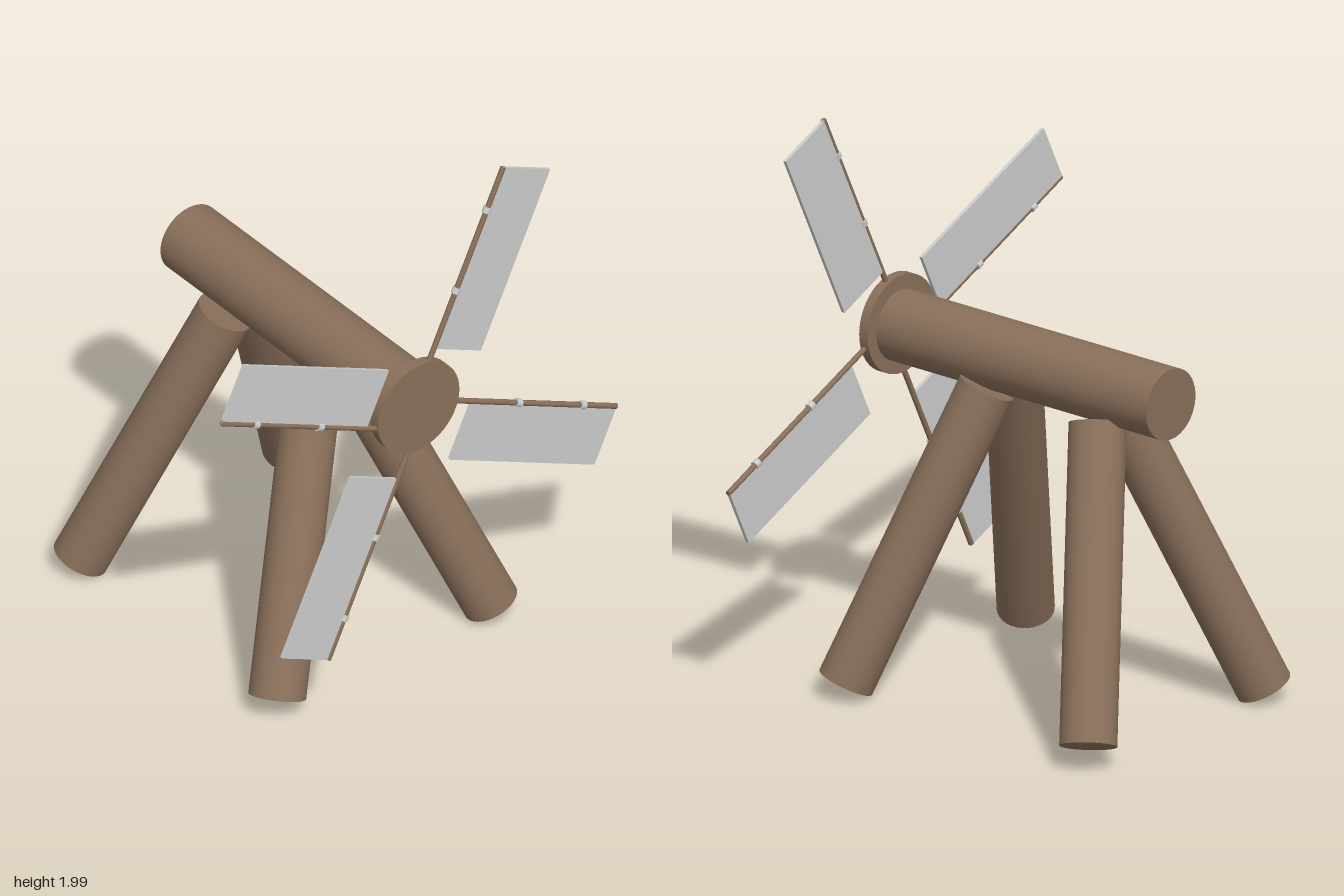
import * as THREE from 'three';

const wood = new THREE.MeshStandardMaterial({ color: 0x896f5a });
const grey = new THREE.MeshStandardMaterial({ color: 0xcccccc });
const V = (x, y, z) => new THREE.Vector3(x, y, z);

// Solid round bar running between two points
function bar(name, a, b, radius, material, sides = 32) {
  const mesh = new THREE.Mesh(new THREE.CylinderGeometry(radius, radius, a.distanceTo(b), sides), material);
  mesh.name = name;
  mesh.position.copy(a).lerp(b, 0.5);
  mesh.quaternion.setFromUnitVectors(V(0, 1, 0), b.clone().sub(a).normalize());
  return mesh;
}

// One blade: built pointing up +y with its sail towards -z, then rolled about x
function blade(tip, angle) {
  const g = new THREE.Group();
  g.name = 'blade';
  g.add(bar('arm', V(0, -0.86, 0), V(0, 0, 0), 0.01, wood, 12));

  const sail = new THREE.Mesh(new THREE.BoxGeometry(0.013, 0.685, 0.22), grey);
  sail.name = 'sail';
  sail.position.set(-0.002, -0.3425, -0.11);
  g.add(sail);

  // Rings tying the sail to the arm
  for (const y of [-0.16, -0.465]) {
    const ring = bar('sailRing', V(0, y - 0.011, 0), V(0, y + 0.011, 0), 0.015, grey, 12);
    g.add(ring);
  }
  g.position.copy(tip);
  g.rotation.x = angle;
  return g;
}

export function createModel() {
  const model = new THREE.Group();
  model.name = 'windmill';

  // Horizontal trunk and the hub disc on its end
  model.add(bar('trunk', V(-0.56, 1.172, 0.006), V(0.655, 1.172, 0.006), 0.125, wood, 48));
  model.add(bar('hub', V(0.65, 1.174, 0.011), V(0.688, 1.174, 0.011), 0.174, wood, 48));

  // Four splayed legs: foot centre, top centre
  const legs = [
    ['frontRightLeg', V(-0.57, 0.048, 0.467), V(-0.277, 1.055, 0.078)],
    ['backRightLeg', V(-0.597, 0.085, -0.455), V(-0.29, 1.06, -0.06)],
    ['frontLeftLeg', V(0.498, 0.077, 0.467), V(0.208, 1.08, 0.078)],
    ['backLeftLeg', V(0.495, 0.055, -0.45), V(0.208, 1.07, -0.06)],
  ];
  for (const [name, foot, top] of legs) model.add(bar(name, foot, top, 0.098, wood));

  // Four blades at right angles, listed by arm tip
  const tips = [
    V(0.673, 1.995, -0.362),
    V(0.673, 1.473, 0.843),
    V(0.669, 0.287, 0.384),
    V(0.673, 0.79, -0.845),
  ];
  const sails = new THREE.Group();
  sails.name = 'blades';
  tips.forEach((tip, i) => sails.add(blade(tip, -0.448 + i * Math.PI / 2)));
  model.add(sails);

  return model;
}
